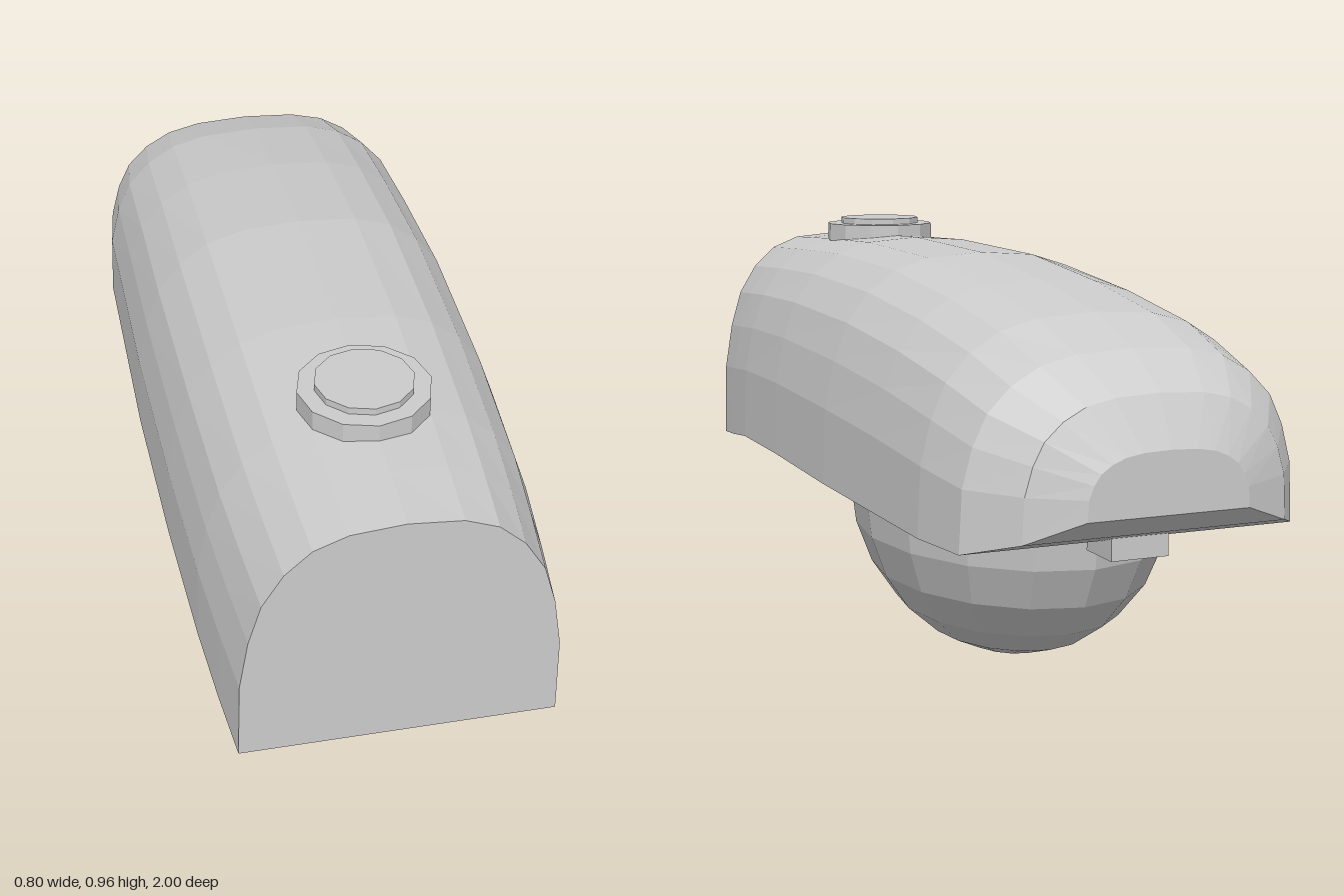
import * as THREE from 'three';

const grey = new THREE.MeshStandardMaterial({ color: 0xcccccc, flatShading: true });
grey.name = 'light grey';

// Half of the arched cross-section: [share of half width, share of height]
const ARCH = [[1, 0], [0.983, 0.335], [0.925, 0.545], [0.843, 0.71], [0.71, 0.84], [0.545, 0.932], [0.335, 0.982]];

// Body stations from back to front: [z, half width, bottom, top]
const STATIONS = [
  [-1, 0.18, 0.475, 0.605],
  [-0.95, 0.295, 0.43, 0.71],
  [-0.84, 0.38, 0.395, 0.785],
  [-0.67, 0.4, 0.393, 0.84],
  [-0.4, 0.4, 0.393, 0.885],
  [-0.07, 0.4, 0.393, 0.92],
  [0.35, 0.388, 0.392, 0.928],
  [0.68, 0.37, 0.38, 0.916],
  [0.85, 0.353, 0.357, 0.908],
  [1, 0.335, 0.34, 0.9],
];

// Loft the arched section along z and close both ends
function bodyGeometry() {
  const section = [...ARCH, [0, 1], ...ARCH.map(([u, v]) => [-u, v]).reverse()];
  const n = section.length;
  const positions = [];
  const index = [];
  for (const [z, w, bottom, top] of STATIONS) {
    for (const [u, v] of section) positions.push(u * w, bottom + v * (top - bottom), z);
  }
  const last = (STATIONS.length - 1) * n;
  for (let i = 0; i < last; i += n) {
    for (let j = 0; j < n; j++) {
      const k = (j + 1) % n;
      index.push(i + j, i + k, i + n + j, i + k, i + n + k, i + n + j);
    }
  }
  for (let j = 1; j < n - 1; j++) {
    index.push(0, j + 1, j);
    index.push(last, last + j, last + j + 1);
  }
  const geometry = new THREE.BufferGeometry();
  geometry.setAttribute('position', new THREE.Float32BufferAttribute(positions, 3));
  geometry.setIndex(index);
  geometry.computeVertexNormals();
  return geometry;
}

export function createModel() {
  const group = new THREE.Group();
  group.name = 'streetLampHead';

  function add(name, geometry, x, y, z) {
    const mesh = new THREE.Mesh(geometry, grey);
    mesh.name = name;
    mesh.position.set(x, y, z);
    group.add(mesh);
    return mesh;
  }

  add('housing', bodyGeometry(), 0, 0, 0);

  // Lower half of an ellipsoid hanging below the housing
  const bowl = new THREE.SphereGeometry(1, 16, 6, 0, Math.PI * 2, Math.PI / 2, Math.PI / 2);
  bowl.scale(0.347, 0.393, 0.48);
  add('lampBowl', bowl, 0, 0.393, -0.22);

  // Sensor cap on top, in two steps
  add('sensorBase', new THREE.CylinderGeometry(0.14, 0.14, 0.045, 12), 0, 0.9275, 0.62);
  add('sensorCap', new THREE.CylinderGeometry(0.104, 0.104, 0.03, 12), 0, 0.95, 0.62);

  // Latch under the rounded end
  add('latch', new THREE.BoxGeometry(0.13, 0.06, 0.11), 0, 0.39, -0.825);

  return group;
}
